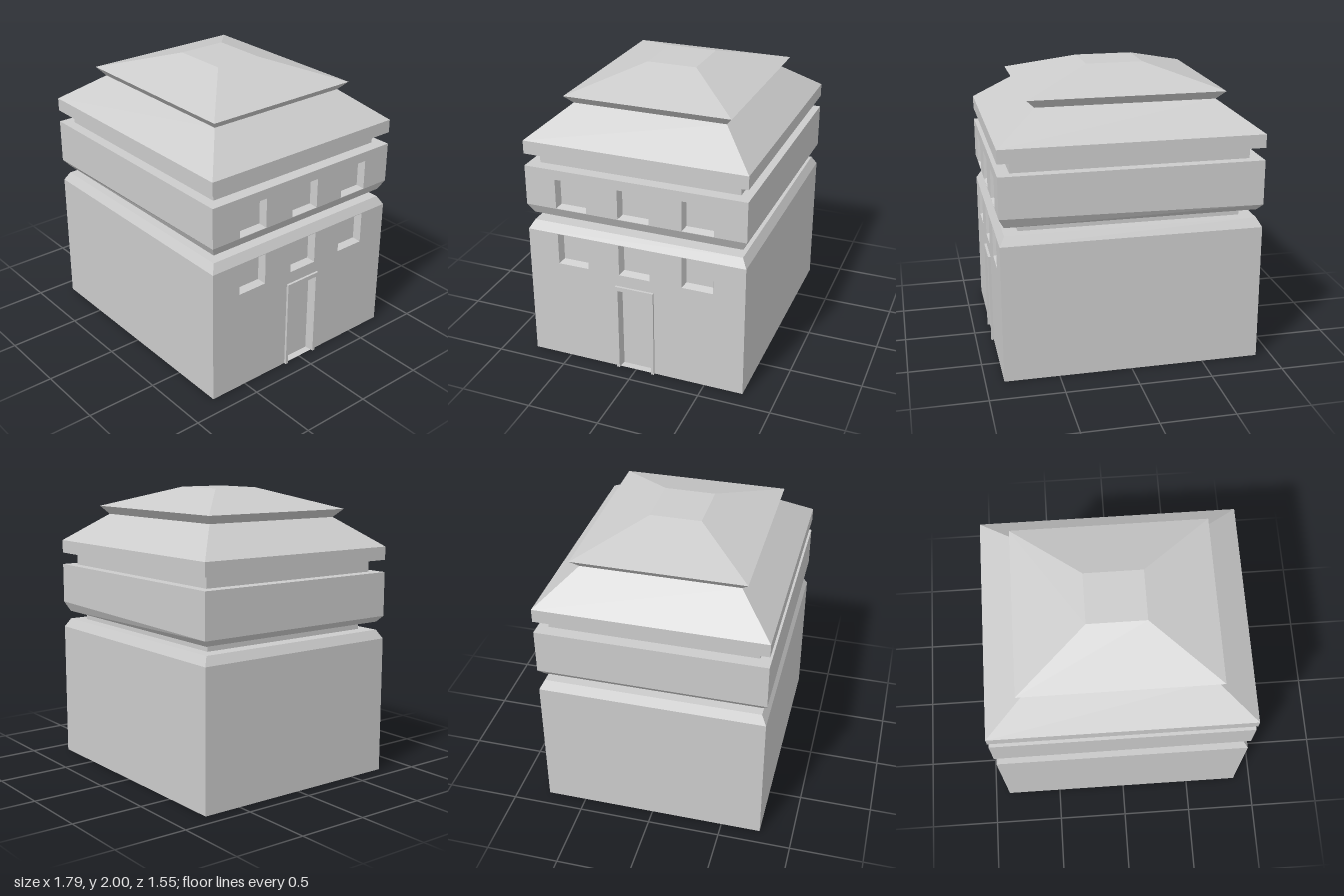
import * as THREE from 'three';

const material = new THREE.MeshStandardMaterial({ color: 0xcccccc, flatShading: true });
const X0 = -0.895, X1 = 0.875, Z = 0.773;

// Flat-shaded mesh from a list of four-cornered faces
function quadMesh(name, quads) {
  const pos = [];
  for (const [a, b, c, d] of quads) pos.push(...a, ...b, ...c, ...a, ...c, ...d);
  const geo = new THREE.BufferGeometry();
  geo.setAttribute('position', new THREE.Float32BufferAttribute(pos, 3));
  geo.computeVertexNormals();
  const mesh = new THREE.Mesh(geo, material);
  mesh.name = name;
  return mesh;
}

// Stack of rectangular levels [y, x0, x1, z, y on the +x side]; openBand leaves out one +x face
function stack(name, levels, openBand = -1) {
  const rings = levels.map(([y, x0, x1, z, yr = y]) =>
    [[x0, y, z], [x1, yr, z], [x1, yr, -z], [x0, y, -z]]);
  const quads = [rings[0].slice().reverse(), rings[rings.length - 1]];
  for (let k = 0; k < rings.length - 1; k++) {
    for (let i = 0; i < 4; i++) {
      if (k === openBand && i === 1) continue;
      const j = (i + 1) % 4;
      quads.push([rings[k][i], rings[k][j], rings[k + 1][j], rings[k + 1][i]]);
    }
  }
  return quadMesh(name, quads);
}

// Rectangle corners on a plane of constant x, counter-clockwise seen from +x
const rect = (x, zc, hw, y0, y1) =>
  [[x, y0, zc + hw], [x, y0, zc - hw], [x, y1, zc - hw], [x, y1, zc + hw]];

// Opening sunk into the +x wall, narrowing towards the back
function recess(name, zc, hw, y0, y1, depth, taper, bottomTaper = taper) {
  const outer = rect(X1, zc, hw, y0, y1);
  const inner = rect(X1 - depth, zc, hw - taper, y0 + bottomTaper, y1 - taper);
  const quads = [inner];
  for (let i = 0; i < 4; i++) {
    const j = (i + 1) % 4;
    quads.push([outer[i], outer[j], inner[j], inner[i]]);
  }
  return quadMesh(name, quads);
}

const WINDOWS = [-0.445, 0, 0.445], WIN = 0.11;
const DOOR = 0.118, DOOR_TOP = 0.615;

// +x wall with window holes; outline is given in (-z, y)
function piercedWall(name, outline, winY0, winY1) {
  const shape = new THREE.Shape(outline.map(p => new THREE.Vector2(...p)));
  for (const z of WINDOWS) {
    shape.holes.push(new THREE.Path([
      [-z - WIN, winY0], [-z - WIN, winY1], [-z + WIN, winY1], [-z + WIN, winY0],
    ].map(p => new THREE.Vector2(...p))));
  }
  const mesh = new THREE.Mesh(new THREE.ShapeGeometry(shape), material);
  mesh.name = name;
  mesh.rotation.y = Math.PI / 2;
  mesh.position.x = X1;
  return mesh;
}

export function createModel() {
  const model = new THREE.Group();
  model.name = 'house';

  // Ground storey with a chamfered top
  model.add(stack('groundStorey', [
    [0, X0, X1, Z], [0.957, X0, X1, Z], [1.018, X0 + 0.035, X1 - 0.035, Z - 0.035],
  ], 0));
  model.add(piercedWall('groundStoreyDoorWall', [
    [-Z, 0], [-DOOR, 0], [-DOOR, DOOR_TOP], [DOOR, DOOR_TOP], [DOOR, 0],
    [Z, 0], [Z, 0.957], [-Z, 0.957],
  ], 0.73, 0.954));

  // Upper storey, its lower bevel rising towards the door side
  model.add(stack('lowerNeck', [[1.018, -0.763, 0.743, 0.658], [1.075, -0.763, 0.743, 0.658]]));
  model.add(stack('upperStorey', [
    [1.075, X0 + 0.035, X1 - 0.035, Z - 0.035],
    [1.117, X0, X1, Z, 1.144], [1.425, X0, X1, Z],
  ], 1));
  model.add(piercedWall('upperStoreyWindowWall',
    [[-Z, 1.144], [Z, 1.144], [Z, 1.425], [-Z, 1.425]], 1.147, 1.357));

  // Two-tiered hipped roof
  model.add(stack('upperNeck', [[1.425, -0.81, 0.79, 0.7], [1.51, -0.81, 0.79, 0.7]]));
  model.add(stack('lowerRoof', [
    [1.51, X0, X1, Z], [1.602, X0, X1, Z], [1.8, -0.617, 0.597, 0.532],
  ]));
  model.add(stack('upperRoof', [
    [1.8, -0.617, 0.597, 0.532], [1.857, -0.675, 0.652, 0.58], [2, -0.205, 0.188, 0.174],
  ]));

  // Window recesses in both storeys
  for (const z of WINDOWS) {
    model.add(recess('groundWindow', z, WIN, 0.73, 0.954, 0.05, 0.018));
    model.add(recess('upperWindow', z, WIN, 1.147, 1.357, 0.05, 0.016));
  }

  // Sunken door and its raised surround
  model.add(recess('door', 0, DOOR, 0, DOOR_TOP, 0.05, 0.006, 0));
  const surround = new THREE.Shape([
    [-0.138, 0], [-DOOR, 0], [-DOOR, DOOR_TOP], [DOOR, DOOR_TOP],
    [DOOR, 0], [0.138, 0], [0.138, 0.645], [-0.138, 0.645],
  ].map(p => new THREE.Vector2(...p)));
  const frame = new THREE.Mesh(
    new THREE.ExtrudeGeometry(surround, { depth: 0.02, bevelEnabled: false }), material);
  frame.name = 'doorFrame';
  frame.rotation.y = Math.PI / 2;
  frame.position.x = X1 - 0.003;
  model.add(frame);

  return model;
}
